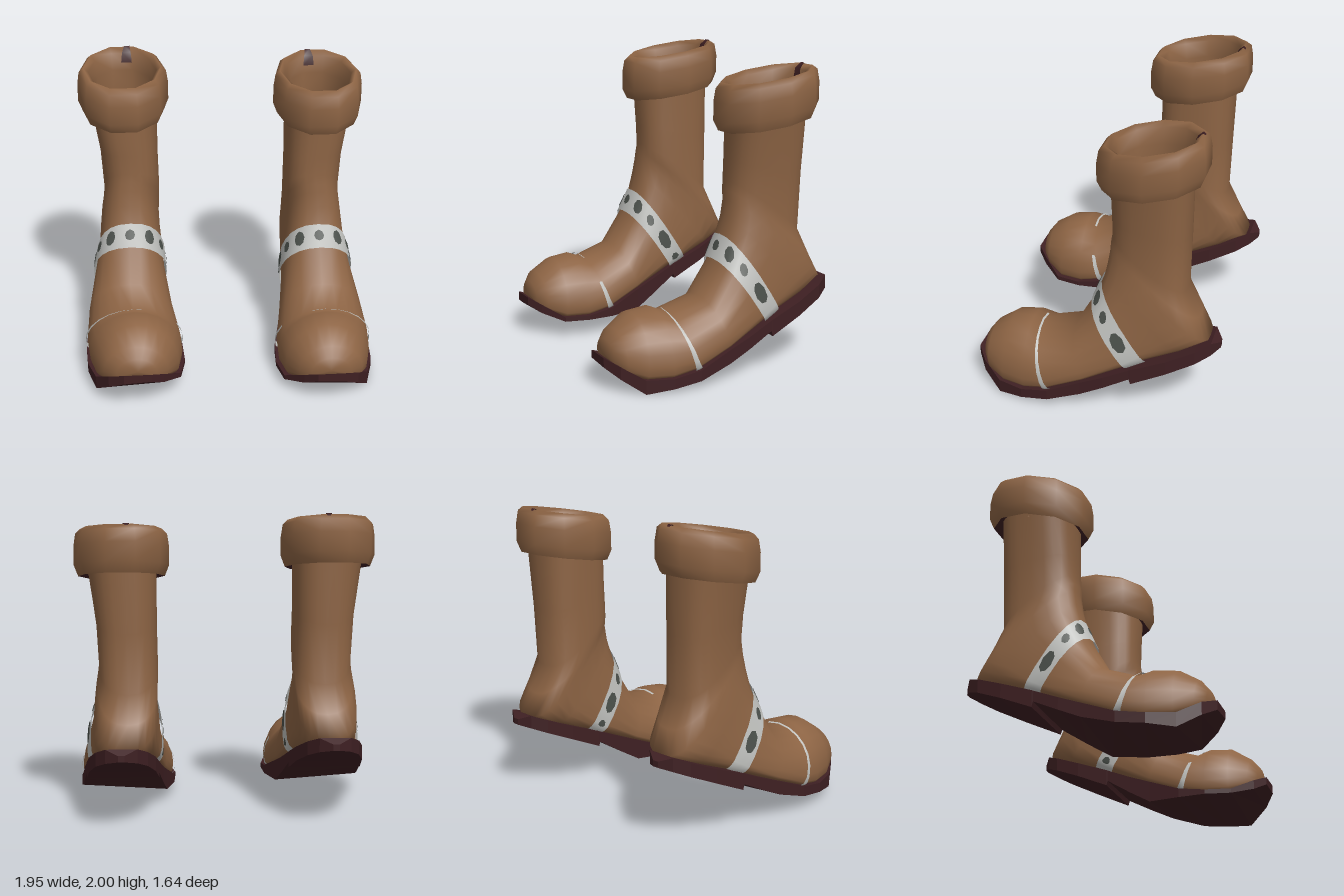
import * as THREE from 'three';
import { mergeVertices } from 'three/addons/utils/BufferGeometryUtils.js';

function material(name, color) {
  const m = new THREE.MeshStandardMaterial({ color, side: THREE.DoubleSide });
  m.name = name;
  return m;
}
const leather = material('brown leather', 0x8d6444);
const dark = material('dark maroon', 0x3f2023);
const silver = material('pale strap', 0xbfc0bd);
const grey = material('grey stud', 0x4b504b);

const lerp = THREE.MathUtils.lerp;
const range = (a, b, n) => Array.from({ length: n + 1 }, (_, i) => lerp(a, b, i / n));

// Surface through fn(u, v) on a grid of parameter values
function grid(us, vs, fn) {
  const pos = [], idx = [], n = vs.length;
  us.forEach(u => vs.forEach(v => pos.push(...fn(u, v))));
  for (let i = 0; i < us.length - 1; i++) {
    for (let j = 0; j < n - 1; j++) {
      const a = i * n + j, b = a + n;
      idx.push(a, b, a + 1, b, b + 1, a + 1);
    }
  }
  const g = new THREE.BufferGeometry();
  g.setAttribute('position', new THREE.Float32BufferAttribute(pos, 3));
  g.setIndex(idx);
  return mergeVertices(g, 1e-5);
}

// Upper: slanted rings from toe to shin
// [sole z, sole y, front z, front y, centre x, half width,
//  squareness below and above the widest point, height of widest point]
const RINGS = [
  [0.79, 0.22, 0.79, 0.22, 0.63, 0, 0.5, 1, 0.4],
  [0.765, 0.15, 0.77, 0.3, 0.635, 0.13, 0.5, 1, 0.35],
  [0.71, 0.11, 0.72, 0.365, 0.64, 0.21, 0.5, 1, 0.3],
  [0.6, 0.06, 0.59, 0.45, 0.63, 0.275, 0.5, 1, 0.27],
  [0.44, 0.06, 0.45, 0.465, 0.635, 0.31, 0.5, 1, 0.25],
  [0.27, 0.1, 0.37, 0.43, 0.645, 0.315, 0.5, 1, 0.25],
  [0.03, 0.2, 0.14, 0.51, 0.66, 0.285, 0.5, 1, 0.27],
  [-0.25, 0.32, 0.02, 0.72, 0.655, 0.24, 0.5, 0.85, 0.3],
  [-0.37, 0.37, -0.04, 0.87, 0.645, 0.222, 0.5, 0.8, 0.3],
  [-0.58, 0.45, -0.07, 1.0, 0.645, 0.21, 0.6, 0.8, 0.35],
  [-0.75, 0.53, -0.085, 1.1, 0.64, 0.2, 0.75, 0.8, 0.45],
  [-0.68, 0.68, -0.09, 1.16, 0.63, 0.193, 0.8, 0.8, 0.5],
  [-0.59, 0.86, -0.1, 1.22, 0.625, 0.19, 0.8, 0.8, 0.5],
  [-0.6, 1.25, -0.1, 1.35, 0.635, 0.195, 0.8, 0.8, 0.5],
  [-0.61, 1.72, -0.1, 1.6, 0.66, 0.222, 0.8, 0.8, 0.5],
];
const SIDES = 24;

function ringPoint(i, j) {
  const [bz, by, tz, ty, cx, w, below, above, m] = RINGS[i];
  const a = (j / SIDES) * Math.PI * 2, s = Math.sin(a), c = Math.cos(a);
  const p = c > 0 ? below : above;
  const x = w * Math.sign(s) * Math.abs(s) ** p;
  const t = c > 0 ? m * (1 - c ** p) : m + (1 - m) * (-c) ** p;
  return new THREE.Vector3(cx + x, lerp(by, ty, t), lerp(bz, tz, t));
}

// Blend four corners of cell (u, v) of a point grid
function blend(fn, u, v, rows) {
  const i = Math.min(Math.floor(u), rows - 2), k = Math.floor(v);
  const lo = fn(i, k).lerp(fn(i, k + 1), v - k);
  return lo.lerp(fn(i + 1, k).lerp(fn(i + 1, k + 1), v - k), u - i);
}

// Any point on the upper, pushed outward by off
function upperPoint(s, j, off = 0) {
  const p = blend(ringPoint, s, j, RINGS.length);
  const [bz, by, tz, ty, cx] = RINGS[Math.min(Math.floor(s), RINGS.length - 1)];
  const out = p.clone().sub(new THREE.Vector3(cx, (by + ty) / 2, (bz + tz) / 2)).normalize();
  return p.addScaledVector(out, off).toArray();
}

// Sole stations: [z, top y, outer bottom y, inner bottom y, centre x, half width]
const SOLE = [
  [0.82, 0.18, 0.18, 0.18, 0.63, 0],
  [0.82, 0.21, 0.15, 0.16, 0.63, 0.09],
  [0.75, 0.17, 0.09, 0.11, 0.64, 0.18],
  [0.62, 0.09, 0, 0.06, 0.625, 0.28],
  [0.45, 0.09, 0.025, 0.06, 0.635, 0.325],
  [0.27, 0.12, 0.05, 0.06, 0.645, 0.325],
  [0.05, 0.21, 0.12, 0.07, 0.66, 0.285],
  [-0.1, 0.27, 0.19, 0.16, 0.668, 0.265],
  [-0.27, 0.345, 0.275, 0.27, 0.67, 0.24],
  [-0.28, 0.35, 0.24, 0.24, 0.67, 0.24],
  [-0.5, 0.435, 0.34, 0.34, 0.67, 0.215],
  [-0.68, 0.51, 0.42, 0.42, 0.67, 0.165],
  [-0.77, 0.55, 0.46, 0.46, 0.67, 0.1],
  [-0.82, 0.52, 0.48, 0.48, 0.67, 0.02],
  [-0.82, 0.5, 0.5, 0.5, 0.67, 0],
];
function solePoint(i, j) {
  const [z, top, outer, inner, cx, w] = SOLE[i];
  const [sx, y] = [[1, top], [-1, top], [-1, inner], [1, outer]][j % 4];
  return [cx + sx * w, y, z];
}

// Cuff profile: [radius scale, height], swept round a tilted oval
const CUFF = [
  [0.72, 1.64], [0.91, 1.59], [1, 1.66], [1, 1.78],
  [0.96, 1.86], [0.86, 1.89], [0.75, 1.86], [0.7, 1.75], [0.7, 1.6],
];
const CUFF_SIDES = 10;
function cuffCorner(i, j) {
  const [r, h] = CUFF[i], a = ((j + 0.5) / CUFF_SIDES) * Math.PI * 2;
  const z = -0.352 * r * Math.cos(a);
  return new THREE.Vector3(0.662 + 0.304 * r * Math.sin(a), h - 0.17 * z, z - 0.36);
}
const cuffPoint = (v, j) => blend(cuffCorner, v, j, CUFF.length).toArray();

function makeBoot(side) {
  const boot = new THREE.Group();
  boot.name = side > 0 ? 'leftBoot' : 'rightBoot';
  const add = (name, geo, mat, flat = false) => {
    if (side < 0) {
      geo.scale(-1, 1, 1);
      const ix = geo.index.array;
      for (let i = 0; i < ix.length; i += 3) [ix[i], ix[i + 1]] = [ix[i + 1], ix[i]];
    }
    if (flat) geo = geo.toNonIndexed();
    geo.computeVertexNormals();
    const mesh = new THREE.Mesh(geo, mat);
    mesh.name = name;
    boot.add(mesh);
  };

  const last = RINGS.length - 1;
  add('upper', grid(range(0, last, last), range(0, SIDES, SIDES), (s, j) => upperPoint(s, j)), leather);
  add('sole', grid(range(0, SOLE.length - 1, SOLE.length - 1), [0, 1, 2, 3, 4], solePoint), dark, true);

  const around = range(0, CUFF_SIDES, CUFF_SIDES);
  add('cuff', grid(range(1, 8, 7), around, cuffPoint), leather);
  add('cuffUnderside', grid([0, 1], around, cuffPoint), dark);

  // Dark notch widening inward over the back of the cuff rim
  const notch = grid([4.5, 5, 6, 6.6], [-1, 1], (v, t) => cuffPoint(v, 9.28 + t * (0.06 + (v - 4.5) * 0.1)));
  add('cuffNotch', notch.translate(0, 0.006, 0), dark);

  // Dark floor seen down the shaft
  const insole = new THREE.CircleGeometry(1, 16).rotateX(-Math.PI / 2).scale(0.195, 1, 0.26);
  add('insole', insole.translate(0.642, 0.8, -0.34), dark);

  // Ankle strap with studs
  add('ankleStrap', grid([7, 7.5, 7.98], range(3, 21, 18), (s, j) => upperPoint(s, j, 0.016)), silver);
  [6.5, 8.3, 10.1, 12, 13.9, 15.7, 17.4, 19].forEach((c, n) => {
    const size = n % 2 ? 0.85 : 1.15;
    add('strapStud', grid([0, 1], range(0, Math.PI * 2, 8), (r, t) =>
      upperPoint(7.5 + r * size * 0.26 * Math.sin(t), c + r * size * 0.5 * Math.cos(t), 0.022)), grey);
  });

  // Toe strap: broad at the sole, tapering and bending forward over the toes
  [[3, 13, 10], [16, 21, 5]].forEach(([a, b, n]) =>
    add('toeStrap', grid([-1, 0, 1], range(a, b, n), (v, j) => {
      const k = Math.abs(j - 12) / 9;
      return upperPoint(5 - 0.25 * (1 - k) + v * (0.07 + 0.06 * k), j, 0.014);
    }), silver));

  return boot;
}

export function createModel() {
  const model = new THREE.Group();
  model.name = 'boots';
  const left = makeBoot(1), right = makeBoot(-1);
  right.position.y = 0.055;
  model.add(left, right);
  return model;
}
